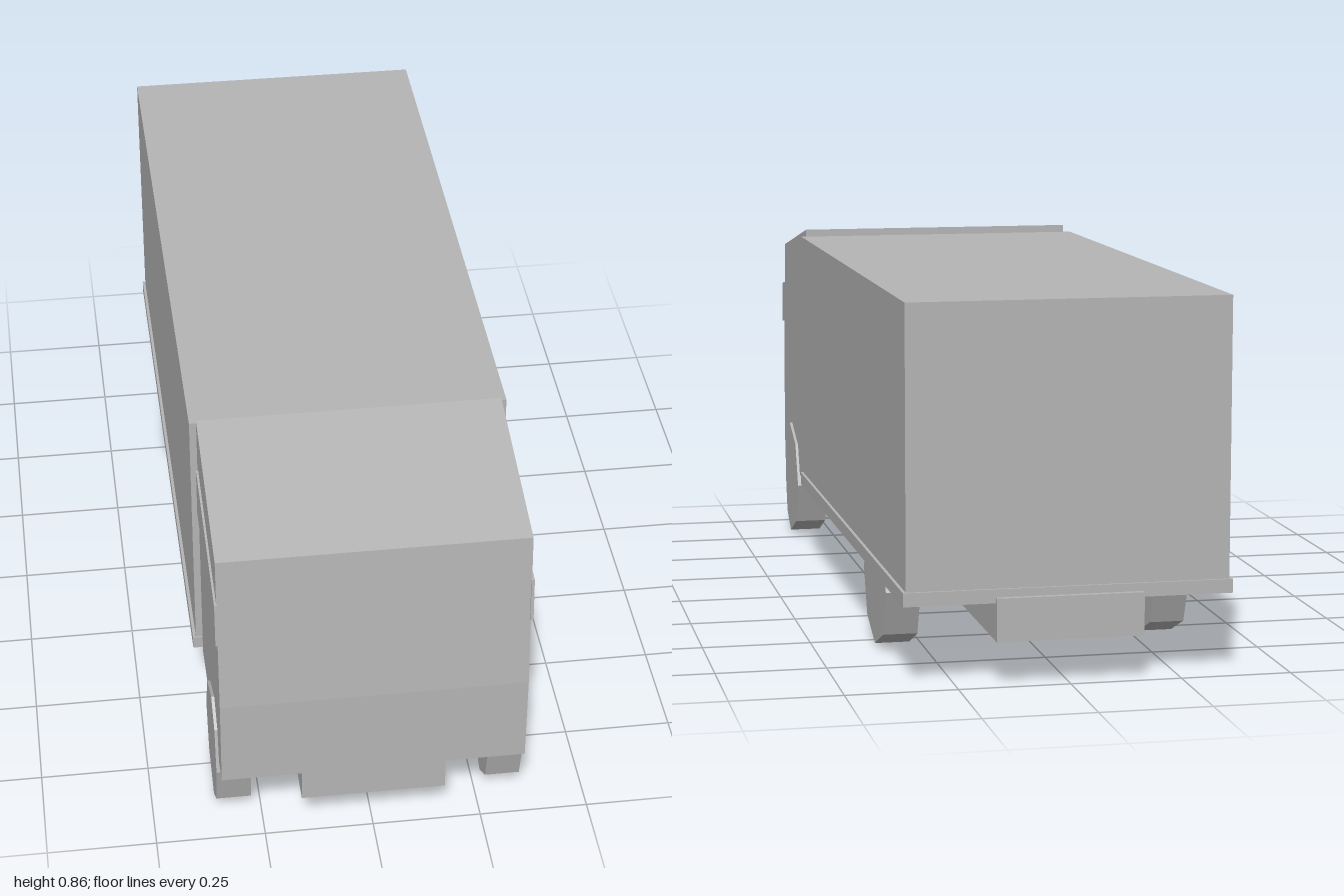
import * as THREE from 'three';

export function createModel() {
  const truck = new THREE.Group();
  truck.name = 'boxTruck';
  const grey = new THREE.MeshStandardMaterial({ color: 0xb4b4b4, flatShading: true });
  grey.name = 'grey';

  const add = (name, geometry) => {
    const mesh = new THREE.Mesh(geometry, grey);
    mesh.name = name;
    truck.add(mesh);
    return mesh;
  };

  // Box given by its half width and its y and z ranges
  const box = (name, halfX, y0, y1, z0, z1) =>
    add(name, new THREE.BoxGeometry(2 * halfX, y1 - y0, z1 - z0))
      .position.set(0, (y0 + y1) / 2, (z0 + z1) / 2);

  // Side outline of [z, y] points, extruded across x from x0 to x1
  const slab = (name, points, x0, x1) => {
    const shape = new THREE.Shape(points.map(([z, y]) => new THREE.Vector2(-z, y)));
    const geometry = new THREE.ExtrudeGeometry(shape, { depth: x1 - x0, bevelEnabled: false });
    geometry.rotateY(Math.PI / 2).translate(x0, 0, 0);
    return add(name, geometry);
  };

  // Chassis beam, load bed and cargo box
  box('chassis', 0.165, 0.1, 0.197, -1, 0.999);
  box('loadBed', 0.369, 0.184, 0.215, -0.987, 0.545);
  box('cargoBox', 0.362, 0.2, 0.843, -0.981, 0.541);

  // Cab with raked windscreen and sloping roof
  slab('cab', [[1, 0.178], [1, 0.395], [0.967, 0.783], [0.555, 0.86], [0.555, 0.178]], -0.347, 0.347);

  // Octagonal wheel outline; front wheels are flattened on the leading side
  const wheelOutline = (cz, lead) => Array.from({ length: 8 }, (_, i) => {
    const a = i * Math.PI / 4;
    const dz = 0.15 * Math.sin(a);
    return [cz + (dz > 0 ? dz * lead : dz), 0.15 - 0.15 * Math.cos(a)];
  });

  for (const [side, s] of [['left', 1], ['right', -1]]) {
    const span = (a, b) => (s > 0 ? [a, b] : [-b, -a]);
    // Side window plate, rising toward the rear
    slab(side + 'Window', [[0.99, 0.568], [0.981, 0.675], [0.575, 0.736], [0.575, 0.612]], ...span(0.345, 0.352));
    slab(side + 'FrontWheel', wheelOutline(0.853, 0.61), ...span(0.274, 0.354));
    slab(side + 'RearWheel', wheelOutline(-0.535, 1), ...span(0.274, 0.354));
  }
  return truck;
}
